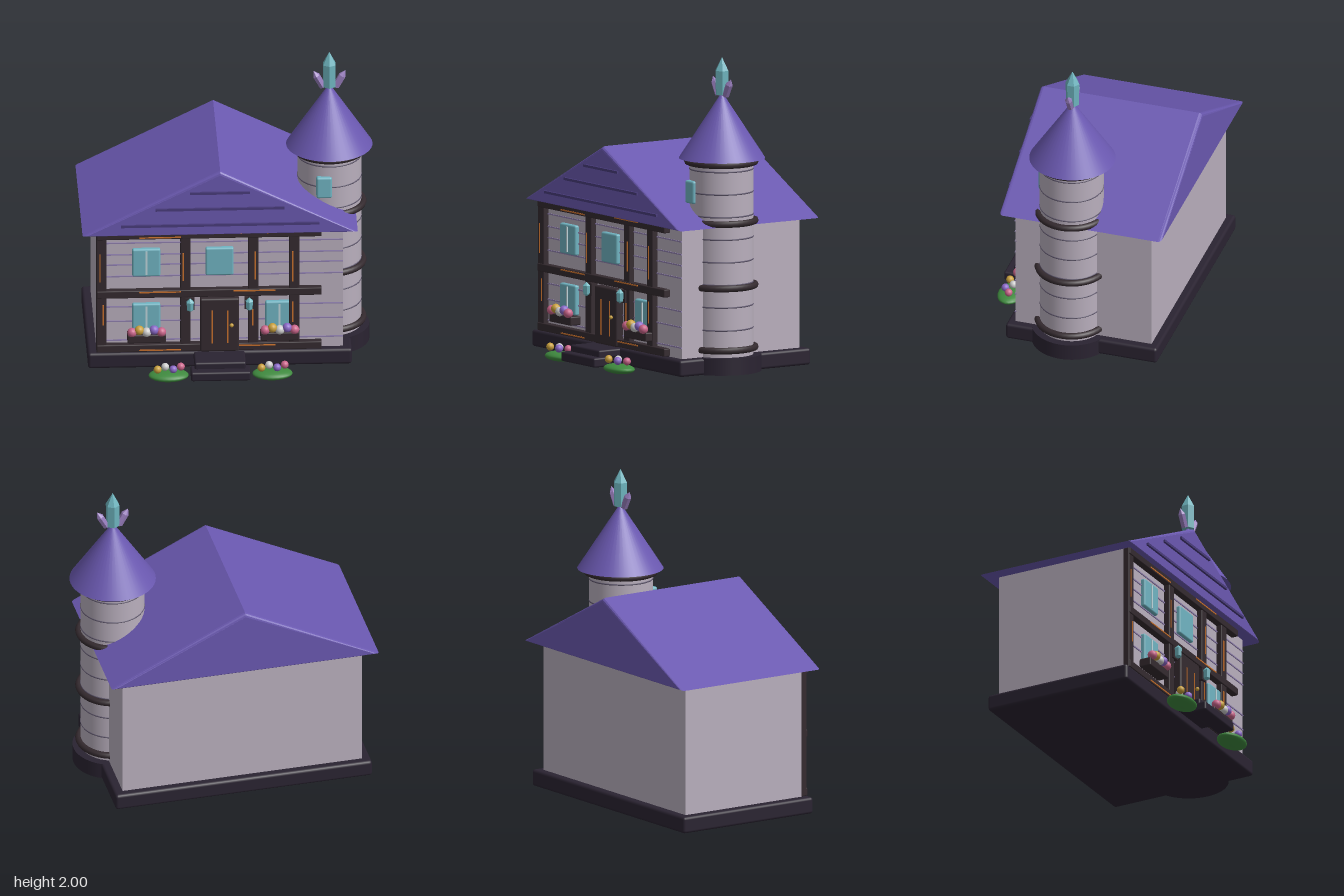
import * as THREE from 'three';
import { RoundedBoxGeometry } from 'three/addons/geometries/RoundedBoxGeometry.js';

const mat = (color, flatShading = false) => new THREE.MeshStandardMaterial({ color, flatShading });
const M = {
  wall: mat(0xb9afbd), roof: mat(0x6a58b0), roofTrim: mat(0x493c7c), beam: mat(0x342a2f),
  base: mat(0x2a2331), glow: mat(0xc8702c), plank: mat(0x8f7fae), seam: mat(0x625a70),
  glass: mat(0x70b4c2), pane: mat(0xbfd6dc), crystal: mat(0x6db3bd, true), violet: mat(0x9a7fc0, true),
  leaf: mat(0x3f8a3f), gold: mat(0xc9a03c), pink: mat(0xc9648a), white: mat(0xd8d4d4), purple: mat(0x8a68c8),
};

export function createModel() {
  const root = new THREE.Group();

  const add = (name, geo, material, x, y, z, parent = root) => {
    const m = new THREE.Mesh(geo, material);
    m.name = name;
    m.position.set(x, y, z);
    parent.add(m);
    return m;
  };
  // Box given by its limits; r > 0 rounds the edges
  const box = (name, material, [x0, x1], [y0, y1], [z0, z1], r = 0, parent = root) => {
    const s = [x1 - x0, y1 - y0, z1 - z0];
    const geo = r ? new RoundedBoxGeometry(...s, 2, r) : new THREE.BoxGeometry(...s);
    return add(name, geo, material, (x0 + x1) / 2, (y0 + y1) / 2, (z0 + z1) / 2, parent);
  };
  const ring = (name, material, y, radius, tube, parent) => {
    const geo = new THREE.TorusGeometry(radius, tube, 8, 40).rotateX(Math.PI / 2);
    return add(name, geo, material, 0, y, 0, parent);
  };
  const flower = (material, x, y, z, r) =>
    add('flower', new THREE.SphereGeometry(r, 14, 10), material, x, y, z);

  // Foundation and house body
  box('foundation', M.base, [-0.885, 0.765], [0.025, 0.13], [-0.585, 0.405], 0.018);
  box('houseWalls', M.wall, [-0.83, 0.71], [0.12, 0.965], [-0.535, 0.355]);
  for (const y of [0.2, 0.33, 0.43, 0.64, 0.72, 0.79, 0.87])
    box('plankLine', M.plank, [-0.8, 0.71], [y - 0.004, y + 0.004], [0.35, 0.361]);

  // Gabled roof with softened edges
  const gable = new THREE.Shape([[-0.92, 0.952], [0.8, 0.952], [-0.06, 1.387]].map((p) => new THREE.Vector2(...p)));
  const bevel = 0.022;
  add('mainRoof', new THREE.ExtrudeGeometry(gable, {
    depth: 1.06 - 2 * bevel, bevelSize: bevel, bevelThickness: bevel, bevelOffset: -bevel, bevelSegments: 3,
  }), M.roof, 0, 0, -0.625 + bevel);
  for (const [y, half] of [[1.245, 0.188], [1.135, 0.403], [1.025, 0.62]])
    box('gableSlat', M.roofTrim, [-0.062 - half, -0.062 + half], [y - 0.008, y + 0.008], [0.425, 0.449]);

  // Timber frame
  for (const x of [-0.8, -0.275, 0.148, 0.405])
    box('post', M.beam, [x - 0.032, x + 0.032], [0.13, 0.955], [0.35, 0.392], 0.006);
  for (const y of [0.157, 0.53, 0.935])
    box('rail', M.beam, [-0.83, 0.575], [y - 0.025, y + 0.025], [0.35, 0.398], 0.006);

  // Glowing inlays on the timber
  for (const [x, y0, y1] of [[-0.81, 0.62, 0.81], [-0.79, 0.32, 0.46], [-0.29, 0.62, 0.81],
    [0.16, 0.62, 0.81], [0.145, 0.3, 0.44], [0.395, 0.6, 0.81], [0.395, 0.32, 0.46]])
    box('inlay', M.glow, [x - 0.004, x + 0.004], [y0, y1], [0.385, 0.396]);
  for (const [x, y] of [[-0.435, 0.923], [0.155, 0.945], [-0.435, 0.545], [0.155, 0.545], [-0.435, 0.145], [0.155, 0.167]])
    box('inlay', M.glow, [x - 0.13, x + 0.13], [y - 0.004, y + 0.004], [0.39, 0.402]);

  // Windows
  for (const [x, y, divided] of [[-0.52, 0.74, true], [-0.062, 0.74, false], [-0.52, 0.362, true], [0.312, 0.362, true]]) {
    box('window', M.glass, [x - 0.088, x + 0.088], [y - 0.095, y + 0.095], [0.345, 0.383], 0.012);
    if (divided) box('windowBar', M.pane, [x - 0.006, x + 0.006], [y - 0.08, y + 0.08], [0.375, 0.388]);
  }

  // Window boxes with flowers
  const blooms = [M.pink, M.gold, M.white, M.purple, M.pink];
  for (const x of [-0.52, 0.312]) {
    box('flowerBox', M.beam, [x - 0.12, x + 0.12], [0.212, 0.268], [0.36, 0.44], 0.008);
    blooms.forEach((b, i) => flower(b, x + (i - 2) * 0.046, i % 2 ? 0.303 : 0.289, 0.438, 0.03));
  }

  // Door
  box('door', M.beam, [-0.185, 0.06], [0.13, 0.495], [0.35, 0.408], 0.012);
  for (const x of [-0.11, -0.012]) box('doorInlay', M.glow, [x - 0.004, x + 0.004], [0.19, 0.415], [0.4, 0.412]);
  add('doorKnob', new THREE.SphereGeometry(0.013, 12, 8), M.gold, 0.012, 0.315, 0.416);

  // Lanterns beside the door
  for (const x of [-0.248, 0.122]) {
    const pts = [[0, -0.045], [0.022, -0.03], [0.026, 0.022], [0, 0.048]].map((p) => new THREE.Vector2(...p));
    add('lantern', new THREE.LatheGeometry(pts, 6), M.crystal, x, 0.462, 0.423);
    box('lanternBracket', M.beam, [x - 0.028, x + 0.028], [0.42, 0.5], [0.36, 0.405]);
  }

  // Front steps
  box('upperStep', M.base, [-0.225, 0.095], [0.075, 0.127], [0.38, 0.562], 0.012);
  box('lowerStep', M.base, [-0.25, 0.122], [0.025, 0.085], [0.505, 0.618], 0.012);

  // Flower beds
  for (const x of [-0.387, 0.262]) {
    const bed = add('flowerBed', new THREE.SphereGeometry(1, 24, 14), M.leaf, x, 0.031, 0.525);
    bed.scale.set(0.126, 0.031, 0.083);
    [M.gold, M.white, M.purple, M.pink].forEach((b, i) =>
      flower(b, x - 0.07 + i * 0.049, 0.085, i % 2 ? 0.518 : 0.555, 0.025));
  }

  // Round tower
  const tower = new THREE.Group();
  tower.name = 'tower';
  tower.position.set(0.64, 0, 0.01);
  root.add(tower);
  add('towerFoundation', new THREE.CylinderGeometry(0.25, 0.25, 0.105, 40), M.base, 0, 0.0775, 0, tower);
  add('towerWall', new THREE.CylinderGeometry(0.2, 0.2, 1.24, 40), M.wall, 0, 0.74, 0, tower);
  for (const y of [0.175, 0.567, 0.973, 1.345]) ring('towerBand', M.beam, y, 0.212, 0.021, tower);
  for (const y of [0.3, 0.445, 0.587, 0.73, 0.873, 1.015, 1.158, 1.3]) ring('towerSeam', M.seam, y, 0.197, 0.006, tower);
  box('towerWindow', M.glass, [-0.09, 0.008], [1.088, 1.232], [0.165, 0.218], 0.014, tower);
  add('towerRoof', new THREE.ConeGeometry(0.27, 0.415, 48), M.roof, 0, 1.573, -0.005, tower);

  // Crystal finial: hexagonal shaft with a pointed tip
  const crystal = (name, material, r, h, tip, x, y, tilt) => {
    const pts = [[0, 0], [r * 0.95, 0], [r, h - tip], [0, h]].map((p) => new THREE.Vector2(...p));
    add(name, new THREE.LatheGeometry(pts, 6), material, x, y, -0.005, tower).rotation.z = tilt;
  };
  crystal('crystalSpire', M.crystal, 0.045, 0.237, 0.085, 0, 1.763, 0);
  for (const s of [-1, 1]) crystal('sideCrystal', M.violet, 0.024, 0.125, 0.04, s * 0.04, 1.76, -s * 0.5);

  return root;
}
